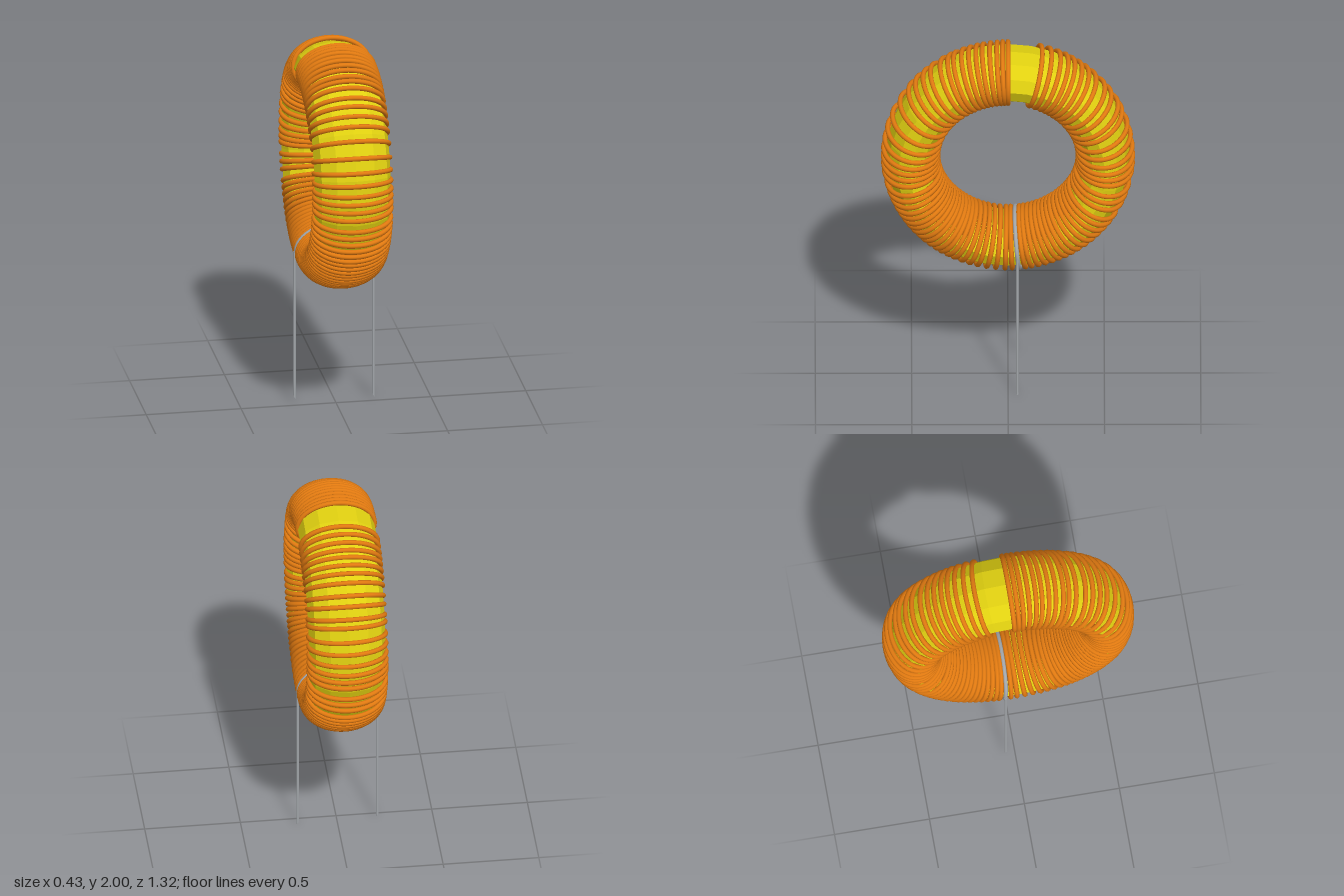
import * as THREE from 'three';

const CENTER_Y = 1.34;   // height of the toroid centre
const MAJOR = 0.505;     // radius from toroid centre to the middle of the section
const WIRE = 0.013;

// Winding angles in degrees, from the top toward +z
const TURNS = [
  0, 2.6, 5.2, 8.5, 12, 15, 18.5, 22, 26, 29, 33, 38.5, 43, 48, 53, 60, 68, 75, 81, 86, 90, 94, 98, 104, 108,
  112, 116, 119.5, 123, 126, 129.5, 133, 136, 139.5, 143, 146, 149.5, 153, 157, 161, 165, 169.5, 174, 178.5, 182,
  188.5, 191.5, 195, 198.5, 202, 205.5, 209, 212.5, 216, 220, 224, 228, 232, 236, 240, 246.5, 251, 255.5,
  262.5, 266, 270, 275, 281, 287, 294, 298, 304, 309, 315, 319.5, 323.5, 327.5, 331, 335, 339.5, 344,
];
const LEAD_TURN = 185.5;

// Closed elliptical loop of wire around the core section, in the XY plane
function loopGeometry(rx, ry, r) {
  const pts = [];
  for (let i = 0; i < 24; i++) {
    const a = (i / 24) * Math.PI * 2;
    pts.push(new THREE.Vector3(rx * Math.cos(a), ry * Math.sin(a), 0));
  }
  return new THREE.TubeGeometry(new THREE.CatmullRomCurve3(pts, true), 48, r, 8, true);
}

function placeLoop(mesh, degrees) {
  const a = THREE.MathUtils.degToRad(degrees);
  mesh.position.set(0, CENTER_Y + MAJOR * Math.cos(a), MAJOR * Math.sin(a));
  mesh.rotation.x = a;
  return mesh;
}

export function createModel() {
  const model = new THREE.Group();
  model.name = 'toroidInductor';

  const copper = new THREE.MeshStandardMaterial({ color: 0xe27a10 });
  copper.name = 'copper orange';
  const yellow = new THREE.MeshStandardMaterial({ color: 0xe0d010 });
  yellow.name = 'core yellow';
  const tin = new THREE.MeshStandardMaterial({ color: 0xa4a8ac });
  tin.name = 'tinned grey';

  // Faceted core, flattened ring with its axis along x
  let coreGeo = new THREE.TorusGeometry(MAJOR, 0.129, 12, 32);
  coreGeo.rotateY(Math.PI / 2);
  coreGeo.scale(0.2 / 0.129, 1, 1);
  coreGeo = coreGeo.toNonIndexed();
  coreGeo.computeVertexNormals();
  const core = new THREE.Mesh(coreGeo, yellow);
  core.name = 'core';
  core.position.y = CENTER_Y;
  model.add(core);

  // Copper winding
  const winding = new THREE.Group();
  winding.name = 'winding';
  const turnGeo = loopGeometry(0.214 - WIRE, 0.155 - WIRE, WIRE);
  TURNS.forEach((deg, i) => {
    const turn = placeLoop(new THREE.Mesh(turnGeo, copper), deg);
    turn.name = `turn${i + 1}`;
    winding.add(turn);
  });
  model.add(winding);

  // Bare tinned loop joining the two leads
  const leadLoop = placeLoop(new THREE.Mesh(loopGeometry(0.203, 0.144, 0.011), tin), LEAD_TURN);
  leadLoop.name = 'leadLoop';
  model.add(leadLoop);

  // Straight leads with slanted cut tips
  const top = leadLoop.position.y;
  for (const [name, x, bottom] of [['leftLead', 0.206, 0], ['rightLead', -0.21, 0.015]]) {
    const r = 0.007;
    const h = top - bottom;
    const geo = new THREE.CylinderGeometry(r, r, h, 10);
    geo.translate(0, h / 2, 0);
    const p = geo.attributes.position;
    for (let i = 0; i < p.count; i++) {
      if (p.getY(i) < 0.001) p.setY(i, (r - p.getX(i)) * 1.5);
    }
    const lead = new THREE.Mesh(geo, tin);
    lead.name = name;
    lead.position.set(x, bottom, leadLoop.position.z);
    model.add(lead);
  }

  return model;
}
